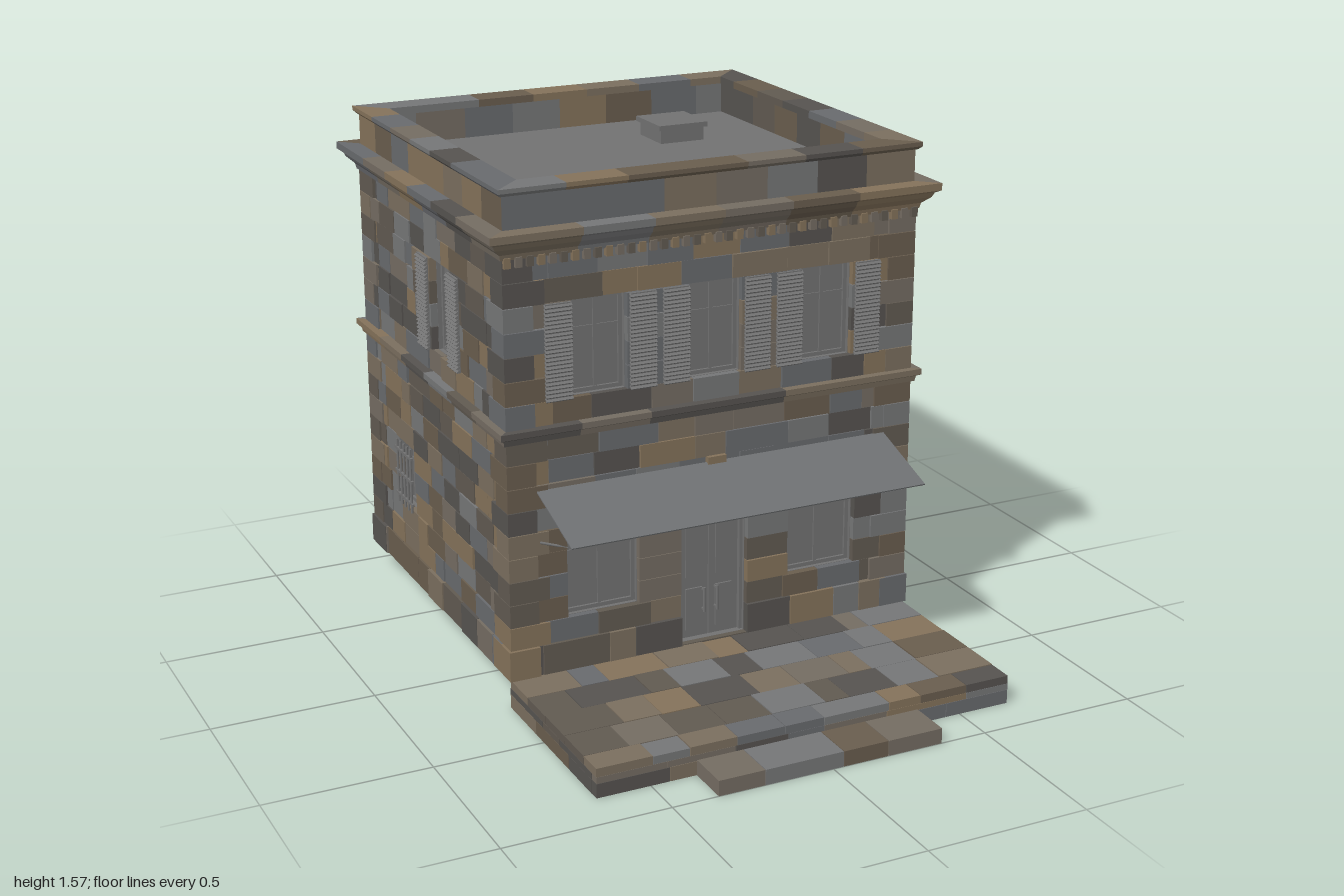
import * as THREE from 'three';
import { mergeGeometries } from 'three/addons/utils/BufferGeometryUtils.js';

const HX = 0.66, HZ = 0.6, ZC = -0.34, T = 0.06, SKIN = 0.02;
const LOW = 0.185, LROW = 0.0717, UP = 0.865, UROW = 0.0721;

// Stone courses of both storeys as [bottom, top]
const rows = [[0.09, LOW]];
for (let i = 0; i < 9; i++) rows.push([LOW + i * LROW, LOW + (i + 1) * LROW]);
for (let i = 0; i < 7; i++) rows.push([UP + i * UROW, UP + (i + 1) * UROW]);

let seed = 7;
const rnd = () => (seed = (seed * 16807) % 2147483647) / 2147483647;

const slate = new THREE.MeshStandardMaterial({ color: 0x727272 });
const slateSheet = new THREE.MeshStandardMaterial({ color: 0x6e7072, side: THREE.DoubleSide });
const stones = [0x84725a, 0x746c62, 0x615a51, 0x757677, 0x695d4e, 0x565350, 0x7a6e5e, 0x686a6d]
  .map(color => new THREE.MeshStandardMaterial({ color, flatShading: true }));

function add(parent, name, geo, x = 0, y = 0, z = 0, mat = slate) {
  const m = new THREE.Mesh(geo, mat);
  m.name = name;
  m.position.set(x, y, z);
  parent.add(m);
  return m;
}
const box = (parent, name, w, h, d, x, y, z, mat) =>
  add(parent, name, new THREE.BoxGeometry(w, h, d), x, y, z, mat);

// Collects stones into one merged mesh per stone colour
function masonry(parent, name) {
  const bins = stones.map(() => []);
  const put = geo => bins[Math.floor(rnd() * bins.length)].push(geo);
  return {
    put,
    block(x0, x1, y0, y1, z0, z1) {
      const g = new THREE.BoxGeometry(x1 - x0, y1 - y0, z1 - z0).toNonIndexed();
      g.deleteAttribute('uv');
      put(g.translate((x0 + x1) / 2, (y0 + y1) / 2, (z0 + z1) / 2));
    },
    finish() {
      bins.forEach((b, i) => b.length && add(parent, name, mergeGeometries(b), 0, 0, 0, stones[i]));
    }
  };
}

// Cuts a length into uneven stones
function split(a, b, size, fn) {
  const n = Math.max(1, Math.round((b - a) / size));
  const cuts = [a];
  for (let i = 1; i < n; i++) cuts.push(a + (b - a) * (i + (rnd() - 0.5) * 0.6) / n);
  cuts.push(b);
  for (let i = 0; i < n; i++) fn(cuts[i], cuts[i + 1]);
}

// Wall facing local +z: inner core with openings, faced with coursed stone of a given depth
function wall(root, name, width, coreWidth, holes, depth, size) {
  const g = new THREE.Group();
  g.name = name;
  root.add(g);
  const rect = (P, x0, x1, y0, y1) => {
    const p = new P();
    p.moveTo(x0, y0); p.lineTo(x1, y0); p.lineTo(x1, y1); p.lineTo(x0, y1); p.closePath();
    return p;
  };
  const s = rect(THREE.Shape, -coreWidth / 2, coreWidth / 2, 0.092, 1.44);
  holes.forEach(h => s.holes.push(rect(THREE.Path, h.x - h.w / 2, h.x + h.w / 2, Math.max(h.y0, 0.0922), h.y1)));
  add(g, 'wallCore', new THREE.ExtrudeGeometry(s, { depth: T - SKIN, bevelEnabled: false }), 0, 0, -T);

  const m = masonry(g, 'wallStones');
  rows.forEach(([y0, y1], r) => {
    let spans = [[-width / 2, width / 2]];
    const yc = (y0 + y1) / 2;
    for (const h of holes) if (yc > h.y0 && yc < h.y1)
      spans = spans.flatMap(([a, b]) => h.x > a && h.x < b ? [[a, h.x - h.w / 2], [h.x + h.w / 2, b]] : [[a, b]]);
    spans.forEach(([a, b]) => split(a, b, size, (u, v) =>
      m.block(u + 0.001, v - 0.001, y0 + 0.001, y1 - 0.001, -depth, (r ? -0.004 : 0.003) + rnd() * 0.008)));
  });
  m.finish();
  return g;
}

// Framed window with a mullion, and optional louvred shutters or bars
function windowUnit(g, { x, w, y0, y1, shutters, bars }) {
  const h = y1 - y0, y = (y0 + y1) / 2, z = -0.045, f = 0.012;
  box(g, 'windowGlass', w, h, 0.008, x, y, z);
  for (const s of [-1, 1]) {
    box(g, 'windowFrameSide', f, h, 0.024, x + s * (w - f) / 2, y, z);
    box(g, 'windowFrameRail', w, f, 0.024, x, y + s * (h - f) / 2, z);
  }
  box(g, 'windowMullion', 0.01, h, 0.02, x, y, z);
  box(g, 'windowCrossbar', w, 0.007, 0.016, x, y + h * 0.17, z);
  if (shutters) for (const s of [-1, 1]) {
    const sw = 0.084, sx = x + s * (w / 2 + 0.005 + sw / 2);
    box(g, 'shutterBoard', sw - 0.006, h, 0.008, sx, y, 0.008);
    for (let i = 0; i < 24; i++)
      box(g, 'shutterSlat', sw, 0.004, 0.014, sx, y0 + 0.006 + i * (h - 0.012) / 23, 0.012).rotation.x = 0.7;
  }
  if (bars) {
    for (let i = 0; i < 5; i++)
      add(g, 'windowBar', new THREE.CylinderGeometry(0.004, 0.004, h, 8), x + (i / 4 - 0.5) * (w - 0.02), y, 0.01);
    for (const t of [-0.36, 0, 0.36]) box(g, 'windowBarTie', w + 0.01, 0.008, 0.008, x, y + t * h, 0.01);
  }
}

// Panelled door with one or two leaves
function door(g, w, y1, leaves) {
  const y0 = 0.09, h = y1 - y0, z = -0.05, lw = (w - 0.02) / leaves;
  box(g, 'doorThreshold', w + 0.02, 0.025, 0.08, 0, 0.0795, -0.04, stones[2]);
  box(g, 'doorHead', w, 0.012, 0.04, 0, y1 - 0.006, z);
  for (const s of [-1, 1]) box(g, 'doorJamb', 0.01, h, 0.04, s * (w / 2 - 0.005), y0 + h / 2, z);
  for (let i = 0; i < leaves; i++) {
    const x = (i - (leaves - 1) / 2) * lw, inner = leaves > 1 ? Math.sign(-x) : 1;
    box(g, 'doorLeaf', lw - 0.003, h - 0.014, 0.016, x, y0 + h / 2 - 0.006, z);
    for (const [a, b] of [[0.06, 0.36], [0.44, 0.93]])
      box(g, 'doorPanel', lw * 0.55, (b - a) * h, 0.008, x, y0 + h * (a + b) / 2, z + 0.01);
    const hx = x + inner * (lw / 2 - 0.022);
    add(g, 'doorHandle', new THREE.CylinderGeometry(0.004, 0.004, 0.08, 10), hx, 0.215, z + 0.026);
    for (const s of [-1, 1]) box(g, 'handleMount', 0.006, 0.006, 0.02, hx, 0.215 + s * 0.032, z + 0.017);
  }
}

// Mitred stone band around the building from a [outset, y] profile
function band(root, name, profile, count) {
  const m = masonry(root, name);
  for (let side = 0; side < 4; side++) {
    const [hu, hv] = side % 2 ? [HZ, HX] : [HX, HZ];
    const at = (t, [o, y]) => [t * (Math.abs(t) === 1 ? hu + o : hu), y, hv + o];
    for (let i = 0; i < count; i++) {
      const a = -1 + 2 * i / count, b = -1 + 2 * (i + 1) / count, pos = [];
      profile.forEach((p, k) => {
        const q = profile[(k + 1) % profile.length];
        const [A, B, C, D] = [at(a, p), at(b, p), at(b, q), at(a, q)];
        pos.push(...A, ...B, ...C, ...A, ...C, ...D);
      });
      const geo = new THREE.BufferGeometry();
      geo.setAttribute('position', new THREE.Float32BufferAttribute(pos, 3));
      geo.computeVertexNormals();
      m.put(geo.rotateY(side * Math.PI / 2).translate(0, 0, ZC));
    }
  }
  m.finish();
}

const tube = (pts, r, n = 24) =>
  new THREE.TubeGeometry(new THREE.CatmullRomCurve3(pts.map(p => new THREE.Vector3(...p)), false, 'catmullrom', 0.1), n, r, 8);

export function createModel() {
  seed = 7;
  const root = new THREE.Group();
  root.name = 'stoneShopBuilding';
  const upper = { y0: UP + UROW, y1: UP + 5 * UROW }, doorTop = LOW + 5 * LROW;

  // Front: shop windows, double door, three shuttered windows; stone right through
  const shop = [-0.365, 0.365].map(x => ({ x, w: 0.23, y0: LOW + LROW, y1: doorTop }));
  const frontUp = [-0.37, 0, 0.37].map(x => ({ x, w: 0.17, ...upper, shutters: true }));
  const front = wall(root, 'frontWall', 2 * HX, 2 * (HX - SKIN),
    [...shop, ...frontUp, { x: 0, w: 0.22, y0: 0.09, y1: doorTop }], T + 0.012, 0.155);
  front.position.z = ZC + HZ;
  [...shop, ...frontUp].forEach(w => windowUnit(front, w));
  door(front, 0.22, doorTop, 2);
  box(front, 'keystone', 0.06, 0.07, 0.03, 0, 0.655, 0.002, stones[0]);
  for (let i = 0; i < 39; i++) box(front, 'dentil', 0.02, 0.03, 0.018, (i - 19) * 0.0344, 1.36, 0.01, stones[i % 3]);

  // Back: door and two barred windows
  const backUp = [-0.32, 0.32].map(x => ({ x, w: 0.16, ...upper, bars: true }));
  const back = wall(root, 'backWall', 2 * HX, 2 * (HX - SKIN),
    [...backUp, { x: 0, w: 0.165, y0: 0.09, y1: doorTop }], SKIN + 0.002, 0.13);
  back.position.z = ZC - HZ;
  back.rotation.y = Math.PI;
  backUp.forEach(w => windowUnit(back, w));
  door(back, 0.165, doorTop, 1);

  // Sides: a shuttered window each, plus a small barred one on the right
  for (const s of [-1, 1]) {
    const list = [{ x: -s * 0.09, w: 0.16, ...upper, shutters: true }];
    if (s < 0) list.push({ x: -0.27, w: 0.14, y0: LOW + 2 * LROW, y1: doorTop, bars: true });
    const side = wall(root, s > 0 ? 'leftWall' : 'rightWall', 2 * (HZ - SKIN), 2 * (HZ - T), list, SKIN + 0.002, 0.13);
    side.position.set(s * HX, 0, ZC);
    side.rotation.y = s * Math.PI / 2;
    list.forEach(w => windowUnit(side, w));
  }

  // Corner quoins, alternately long and short
  const quoins = masonry(root, 'quoins');
  rows.forEach(([y0, y1], r) => {
    for (const sx of [-1, 1]) for (const sz of [-1, 1]) {
      const [lx, lz] = r % 2 ? [0.12, 0.085] : [0.085, 0.12], out = r ? 0.006 : 0.012;
      const x = [sx * (HX + out), sx * (HX - lx)].sort((a, b) => a - b);
      const z = [ZC + sz * (HZ + out), ZC + sz * (HZ - lz)].sort((a, b) => a - b);
      quoins.block(...x, y0 + 0.001, y1 - 0.001, ...z);
    }
  });
  quoins.finish();

  // Belt course, cornice, parapet and coping
  band(root, 'beltCourse', [[-0.03, 0.825], [0.015, 0.825], [0.018, 0.842], [0.03, 0.848], [0.03, 0.866], [-0.03, 0.866]], 6);
  band(root, 'cornice', [[-0.06, 1.368], [0.012, 1.368], [0.016, 1.385], [0.038, 1.405], [0.045, 1.42], [0.06, 1.428], [0.06, 1.45], [-0.06, 1.45]], 6);
  band(root, 'parapet', [[-0.07, 1.42], [0, 1.42], [0, 1.55], [-0.07, 1.55]], 8);
  band(root, 'coping', [[-0.076, 1.547], [0.006, 1.547], [0.016, 1.557], [0.016, 1.57], [-0.076, 1.57]], 7);

  // Flat roof with hatch
  box(root, 'roofDeck', 2 * (HX - 0.06), 0.04, 2 * (HZ - 0.06), 0, 1.43, ZC);
  box(root, 'roofHatch', 0.15, 0.05, 0.155, 0.27, 1.47, -0.59);
  box(root, 'roofHatchLid', 0.17, 0.016, 0.175, 0.27, 1.502, -0.59);

  // Terrace: thin pavers on an edging of two courses, and the step
  const terrace = masonry(root, 'terraceStones');
  const lines = [0.25, 0.38, 0.51, 0.645, 0.78, 0.865];
  for (let i = 0; i < 5; i++) split(-0.665, 0.665, 0.15, (a, b) =>
    terrace.block(a + 0.001, b - 0.001, 0.062, 0.09 - rnd() * 0.003, lines[i] + 0.001, lines[i + 1] - 0.001));
  for (const [y0, y1] of [[0, 0.043], [0.044, 0.063]]) {
    split(-0.665, 0.665, 0.2, (a, b) => terrace.block(a + 0.001, b - 0.001, y0, y1, 0.835, 0.865));
    for (const s of [-1, 1]) split(0.25, 0.834, 0.2, (a, b) =>
      terrace.block(s * 0.65 - 0.015, s * 0.65 + 0.015, y0, y1, a + 0.001, b - 0.001));
  }
  split(-0.36, 0.355, 0.18, (a, b) => terrace.block(a + 0.001, b - 0.001, 0, 0.047, 0.866, 1));
  terrace.finish();

  // Awning sheet with stays and hooks
  const awning = add(root, 'awning', new THREE.BoxGeometry(1.15, 0.004, Math.hypot(0.25, 0.085)), 0, 0.6275, 0.388, slateSheet);
  awning.rotation.x = Math.atan2(0.085, 0.25);
  for (const s of [-1, 1]) {
    add(root, 'awningStay', tube([[s * 0.565, 0.585, 0.511], [s * 0.565, 0.51, 0.262]], 0.004, 2));
    for (const x of [0.22, 0.377]) {
      box(root, 'wallHook', 0.007, 0.045, 0.007, s * x, 0.53, 0.272);
      add(root, 'hookRing', new THREE.TorusGeometry(0.008, 0.003, 6, 12), s * x, 0.505, 0.272);
    }
  }

  // Drainpipe with hopper and clamps
  add(root, 'drainpipe', tube([[0.671, 1.39, 0.085], [0.671, 0.8, 0.085], [0.671, 0.15, 0.085], [0.676, 0.13, 0.085], [0.7, 0.102, 0.085]], 0.01, 40));
  add(root, 'pipeHopper', new THREE.CylinderGeometry(0.018, 0.011, 0.03, 12), 0.671, 1.385, 0.085);
  for (const y of [0.3, 0.6, 0.88, 1.17])
    add(root, 'pipeClamp', new THREE.CylinderGeometry(0.013, 0.013, 0.012, 12), 0.671, y, 0.085);
  return root;
}
